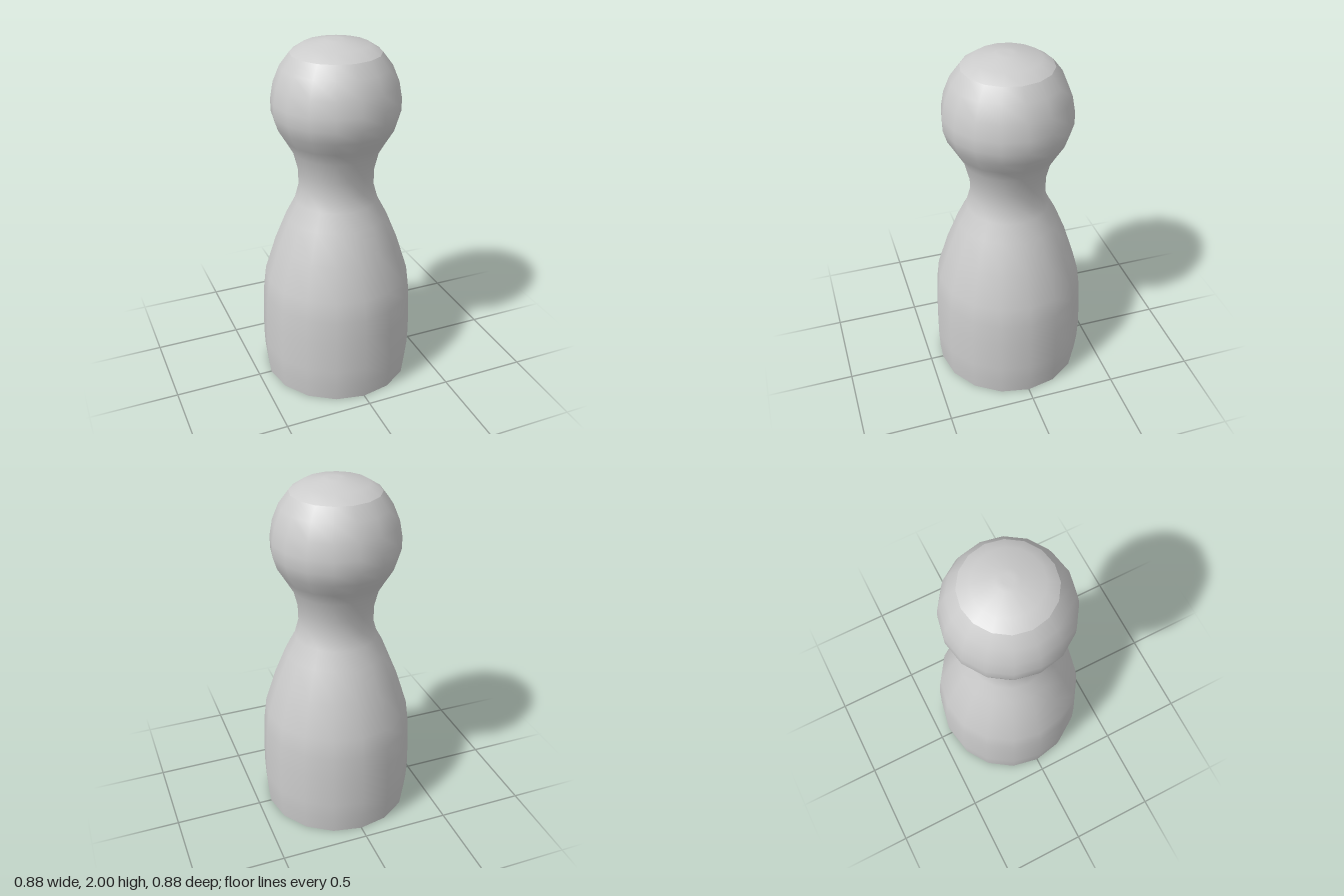
import * as THREE from 'three';

const SIDES = 16;
const material = new THREE.MeshStandardMaterial({ color: 0xcccccc });

// Turned surface from [radius, height] pairs listed bottom to top
function turned(name, profile) {
  const points = profile.map(([r, y]) => new THREE.Vector2(r, y));
  const mesh = new THREE.Mesh(new THREE.LatheGeometry(points, SIDES), material);
  mesh.name = name;
  return mesh;
}

export function createModel() {
  const group = new THREE.Group();
  group.name = 'pegFigure';

  // Flat underside
  group.add(turned('underside', [[0, 0], [0.425, 0]]));

  // Body, neck and round head in one smooth sweep
  group.add(turned('bodyAndHead', [
    [0.425, 0], [0.436, 0.1], [0.44, 0.2], [0.436, 0.39], [0.428, 0.52], [0.413, 0.64],
    [0.35, 0.84], [0.285, 1.0], [0.232, 1.1], [0.21, 1.18], [0.212, 1.27], [0.242, 1.39],
    [0.285, 1.465], [0.33, 1.54], [0.351, 1.61], [0.351, 1.68], [0.335, 1.77],
    [0.298, 1.86], [0.245, 1.93],
  ]));

  // Shallow crown, separated from the head by a crisp edge
  group.add(turned('crown', [[0.245, 1.93], [0.18, 1.972], [0.06, 1.998], [0.03, 2], [0, 2]]));

  return group;
}
